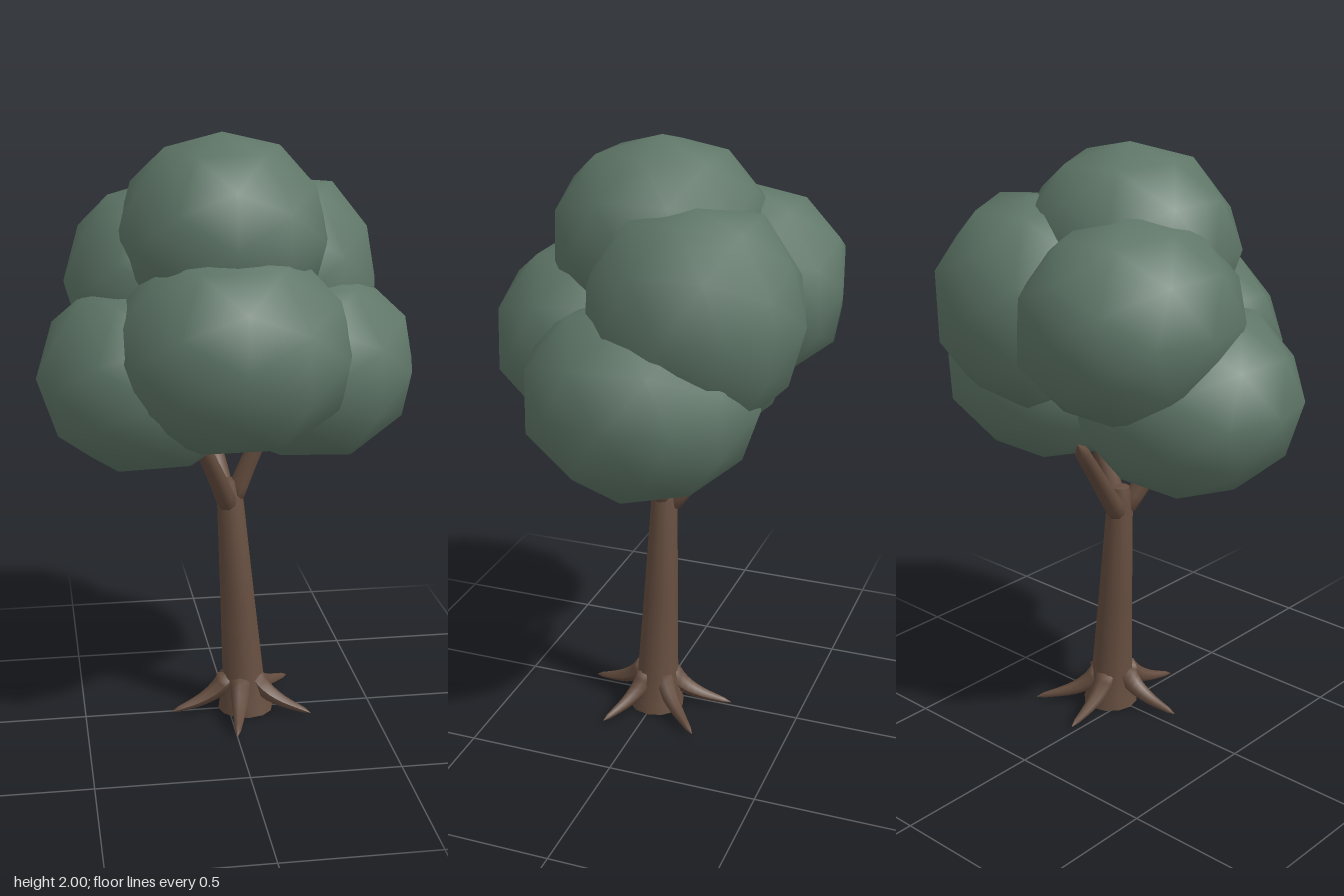
import * as THREE from 'three';
import { mergeVertices, toCreasedNormals } from 'three/addons/utils/BufferGeometryUtils.js';

const leafMat = new THREE.MeshStandardMaterial({ color: 0x5f7768 });
leafMat.name = 'leaf green';
const barkMat = new THREE.MeshStandardMaterial({ color: 0x654d3f });
barkMat.name = 'bark brown';

// Seeded noise in -1..1
function seeded(seed) {
  let s = seed;
  return () => {
    s = (s * 16807) % 2147483647;
    return (s / 2147483647) * 2 - 1;
  };
}

// Slightly irregular low-poly ball with smooth normals; the pole facing `flat` is pushed in
function clumpGeometry(radii, flat, seed) {
  let g = new THREE.IcosahedronGeometry(1, 1);
  g.deleteAttribute('uv');
  g.deleteAttribute('normal');
  g = mergeVertices(g, 1e-3);
  const rnd = seeded(seed);
  const p = g.attributes.position;
  const pole = new THREE.Vector3(...flat);
  const v = new THREE.Vector3();
  for (let i = 0; i < p.count; i++) {
    v.fromBufferAttribute(p, i);
    const onAxis = Math.max(Math.abs(v.x), Math.abs(v.y), Math.abs(v.z)) > 0.99;
    let k = onAxis ? 1 : 1.02 + 0.02 * rnd();
    if (v.dot(pole) > 0.99) k = 0.92;
    v.multiplyScalar(k);
    p.setXYZ(i, v.x, v.y, v.z);
  }
  g.scale(...radii);
  g.computeVertexNormals();
  return g;
}

// Tapered tube with closed ends along a smooth path
function taperedTube(points, r0, r1, sides = 8) {
  const curve = new THREE.CatmullRomCurve3(points.map((q) => new THREE.Vector3(...q)));
  const rings = 10;
  const g = new THREE.TubeGeometry(curve, rings, 1, sides, false);
  const p = g.attributes.position;
  const v = new THREE.Vector3();
  for (let i = 0; i <= rings; i++) {
    const c = curve.getPointAt(i / rings);
    // The first and last rings shrink to close the ends
    const u = Math.min(Math.max((i - 1) / (rings - 2), 0), 1);
    const r = i === 0 || i === rings ? 0.001 : r0 + (r1 - r0) * u;
    for (let j = 0; j <= sides; j++) {
      const n = i * (sides + 1) + j;
      v.fromBufferAttribute(p, n).sub(c).multiplyScalar(r).add(c);
      p.setXYZ(n, v.x, v.y, v.z);
    }
  }
  g.computeVertexNormals();
  return g;
}

export function createModel() {
  const tree = new THREE.Group();
  tree.name = 'tree';
  const add = (name, geometry, material) => {
    const m = new THREE.Mesh(geometry, material);
    m.name = name;
    tree.add(m);
    return m;
  };

  // Leaning trunk, flared at the foot
  const profile = [[0, 0], [0.096, 0], [0.09, 0.03], [0.072, 0.13], [0.06, 0.4], [0.045, 0.78], [0.03, 0.84], [0, 0.85]];
  const trunk = new THREE.LatheGeometry(profile.map(([x, y]) => new THREE.Vector2(x, y)), 12);
  const tp = trunk.attributes.position;
  for (let i = 0; i < tp.count; i++) {
    const t = tp.getY(i) / 0.8;
    tp.setX(i, tp.getX(i) + 0.062 - 0.055 * t);
    tp.setZ(i, tp.getZ(i) - 0.004 - 0.009 * t);
  }
  add('trunk', toCreasedNormals(trunk, 0.9), barkMat);

  // Five roots round the foot: angle and reach
  const roots = [[27, 0.255], [101, 0.255], [171, 0.25], [262, 0.265], [315, 0.28]];
  for (const [degrees, reach] of roots) {
    const a = THREE.MathUtils.degToRad(degrees);
    const at = (r, y) => [0.045 + r * Math.cos(a), y, r * Math.sin(a)];
    add('root', taperedTube([at(0.035, 0.135), at(0.08, 0.085), at(0.14, 0.05), at(reach, 0.017)], 0.038, 0.01, 7), barkMat);
  }

  // Three branches reaching into the crown
  const branches = [
    [[0.005, 0.72, -0.01], [-0.02, 0.88, -0.13], [-0.07, 1.09, -0.3]],
    [[0.01, 0.75, -0.01], [0.08, 0.92, -0.012], [0.18, 1.12, -0.015]],
    [[0.01, 0.73, -0.01], [-0.05, 0.88, 0.075], [-0.15, 1.1, 0.19]],
  ];
  for (const path of branches) add('branch', taperedTube(path, 0.034, 0.024), barkMat);

  // Crown of overlapping leaf clumps: name, centre, radii, flattened pole
  const clumps = [
    ['topClump', [-0.02, 1.67, 0.005], [0.345, 0.33, 0.355], [0, 0, -1]],
    ['frontClump', [-0.015, 1.335, 0.19], [0.39, 0.335, 0.38], [0, 0, 1]],
    ['leftClump', [0.265, 1.24, -0.035], [0.365, 0.325, 0.385], [0, -1, 0]],
    ['rightClump', [-0.265, 1.22, 0.01], [0.365, 0.315, 0.37], [0, -1, 0]],
    ['backRightClump', [-0.2, 1.5, -0.195], [0.325, 0.33, 0.385], [0, 0, -1]],
    ['backLeftClump', [0.195, 1.495, -0.18], [0.335, 0.365, 0.355], [0, 1, 0]],
  ];
  clumps.forEach(([name, centre, radii, flat], i) => {
    add(name, clumpGeometry(radii, flat, 101 + 977 * i), leafMat).position.set(...centre);
  });

  return tree;
}
